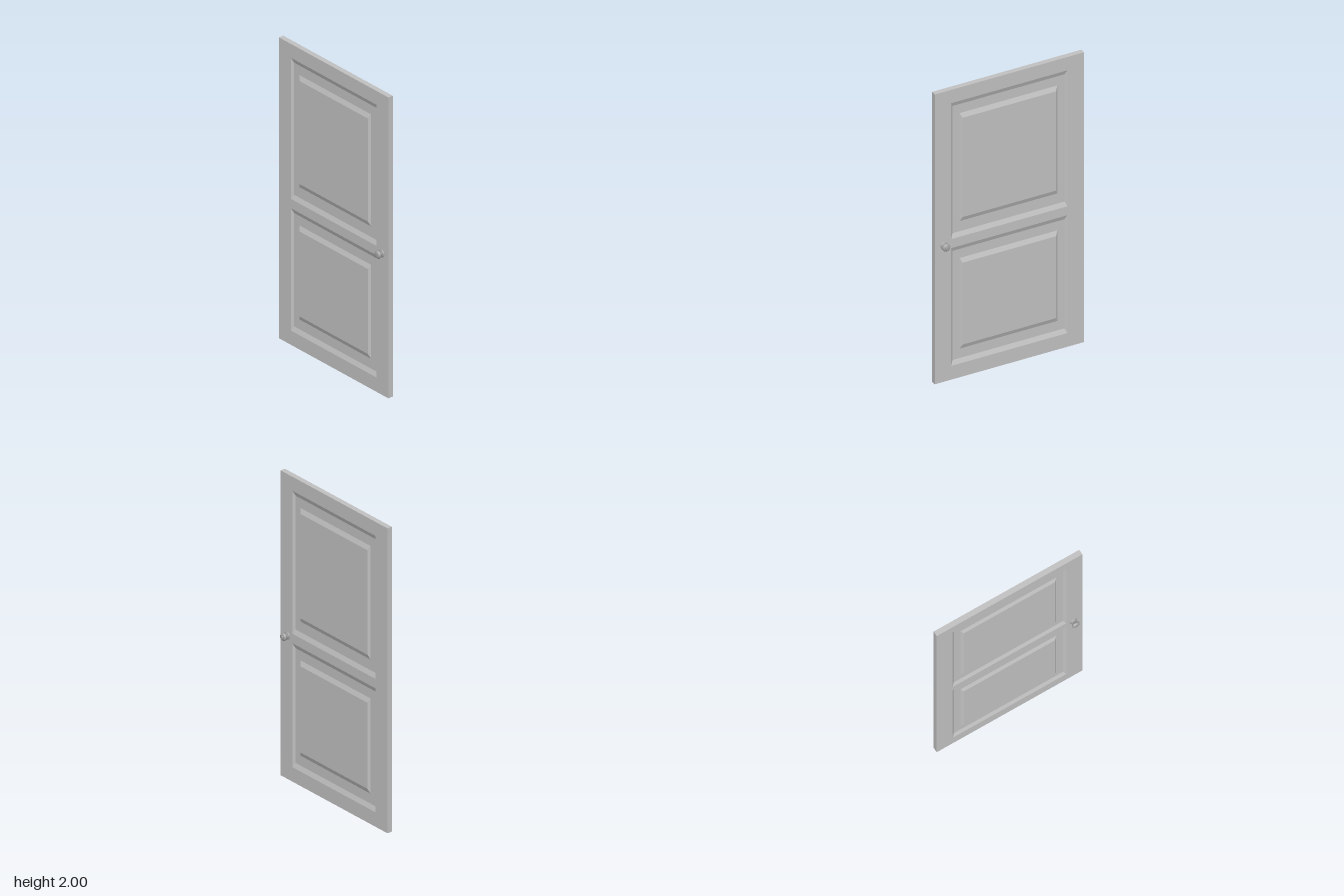
import * as THREE from 'three';

const FRONT_X = 0.013, BACK_X = -0.021, DEPTH = 0.012;
const BEVEL_W = 0.015, BEVEL_H = 0.03;

// rectangle centred on x = 0, with corners counterclockwise
const rect = (halfWidth, bottom, top) => [
  [-halfWidth, bottom], [halfWidth, bottom], [halfWidth, top], [-halfWidth, top],
];
const shrink = ([a, , c]) => rect(c[0] - BEVEL_W, a[1] + BEVEL_H, c[1] - BEVEL_H);

// four flat quads joining rectangle a at depth za to rectangle b at depth zb
function ring(a, za, b, zb) {
  const pos = [];
  for (let i = 0; i < 4; i++) {
    const j = (i + 1) % 4;
    const p = [...a[i], za], q = [...a[j], za], r = [...b[j], zb], s = [...b[i], zb];
    pos.push(...p, ...q, ...r, ...p, ...r, ...s);
  }
  const geo = new THREE.BufferGeometry();
  geo.setAttribute('position', new THREE.Float32BufferAttribute(pos, 3));
  geo.computeVertexNormals();
  return geo;
}

const toShape = (r) => new THREE.Shape(r.map(([x, y]) => new THREE.Vector2(x, y)));

export function createModel() {
  const paint = new THREE.MeshStandardMaterial({ color: 0xc0c0c0 });
  paint.name = 'door grey';
  const metal = new THREE.MeshStandardMaterial({ color: 0xa4a4a4 });
  metal.name = 'knob grey';

  const door = new THREE.Group();
  door.name = 'door';
  const add = (parent, name, geo, mat) => {
    const mesh = new THREE.Mesh(geo, mat);
    mesh.name = name;
    parent.add(mesh);
    return mesh;
  };

  const outline = rect(0.5, 0, 2);
  const panels = [
    { name: 'upperPanel', hole: rect(0.39, 0.97, 1.908), field: rect(0.328, 1.07, 1.815) },
    { name: 'lowerPanel', hole: rect(0.39, 0.095, 0.908), field: rect(0.328, 0.19, 0.815) },
  ];

  // one panelled face, built facing +z
  function doorFace(name) {
    const face = new THREE.Group();
    face.name = name;
    const frame = toShape(outline);
    for (const { hole } of panels) frame.holes.push(toShape(hole));
    add(face, 'frame', new THREE.ShapeGeometry(frame), paint);
    for (const { name: label, hole, field } of panels) {
      const floor = shrink(hole), raised = shrink(field);
      const panel = new THREE.Group();
      panel.name = label;
      add(panel, 'outerBevel', ring(hole, 0, floor, -DEPTH), paint);
      add(panel, 'groove', ring(floor, -DEPTH, field, -DEPTH), paint);
      add(panel, 'innerBevel', ring(field, -DEPTH, raised, 0), paint);
      add(panel, 'raisedField', new THREE.ShapeGeometry(toShape(raised)), paint);
      face.add(panel);
    }
    return face;
  }

  const leftFace = doorFace('leftFace');
  leftFace.rotation.y = Math.PI / 2;
  leftFace.position.x = FRONT_X;
  const rightFace = doorFace('rightFace');
  rightFace.rotation.y = -Math.PI / 2;
  rightFace.position.x = BACK_X;
  door.add(leftFace, rightFace);

  // narrow edges around the slab
  const edges = add(door, 'edges', ring(outline, BACK_X - FRONT_X, outline, 0), paint);
  edges.rotation.y = Math.PI / 2;
  edges.position.x = FRONT_X;

  // turned knobs: rosette, neck and flattened ball
  const profile = [
    [0.025, 0], [0.025, 0.003], [0.021, 0.006], [0.009, 0.008], [0.008, 0.014],
    [0.013, 0.0155], [0.021, 0.019], [0.0245, 0.024], [0.0255, 0.028],
    [0.0245, 0.032], [0.021, 0.037], [0.013, 0.0395], [0, 0.04],
  ].map(([r, h]) => new THREE.Vector2(r, h));
  for (const side of [1, -1]) {
    const knob = new THREE.Group();
    knob.name = side > 0 ? 'leftKnob' : 'rightKnob';
    add(knob, 'knobBody', new THREE.LatheGeometry(profile, 24), metal);
    if (side > 0) {
      const button = add(knob, 'lockButton', new THREE.CylinderGeometry(0.011, 0.012, 0.008, 20), metal);
      button.position.y = 0.041;
    }
    knob.rotation.z = -side * Math.PI / 2;
    knob.position.set(side > 0 ? FRONT_X : BACK_X, 0.94, 0.438);
    door.add(knob);
  }
  return door;
}
